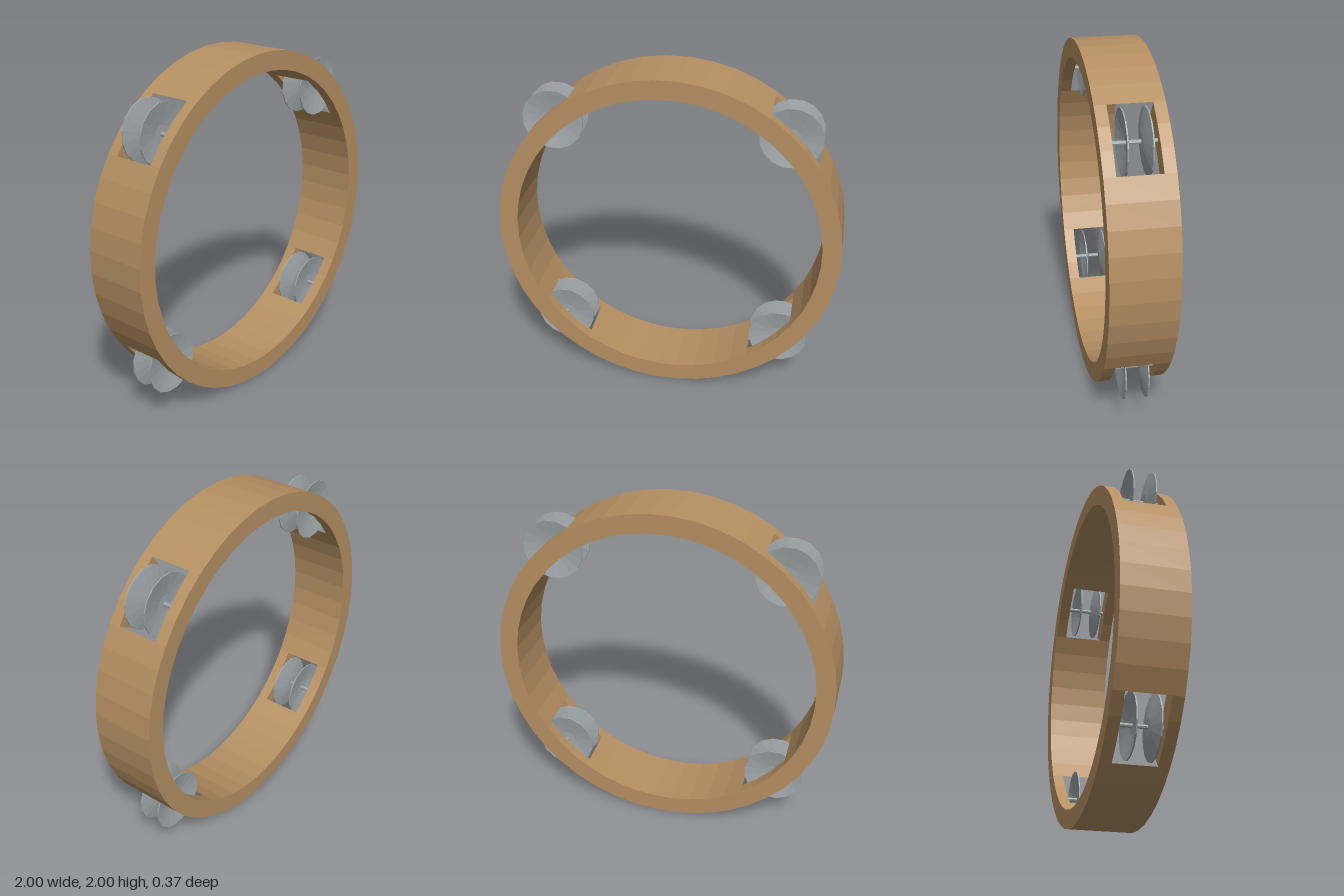
import * as THREE from 'three';

const SEGMENTS = 48, OUTER = 1.002, INNER = 0.892, DEPTH = 0.185, SLOT = 0.12;
const STEP = (Math.PI * 2) / SEGMENTS;

const wood = new THREE.MeshStandardMaterial({ color: 0xb58f62, flatShading: true });
wood.name = 'wood';
const metal = new THREE.MeshStandardMaterial({ color: 0x9fa6a9, flatShading: true });
metal.name = 'metal';

// Faceted wooden hoop; three facets are left open on each diagonal for the jingles
function hoopGeometry() {
  const pos = [];
  const quad = (a, b, c, d) => pos.push(...a, ...b, ...c, ...a, ...c, ...d);
  const p = (r, angle, z) => [r * Math.cos(angle), r * Math.sin(angle), z];
  const isSlot = (i) => Math.abs((i % 12) - 6) <= 1;

  for (let i = 0; i < SEGMENTS; i++) {
    const a = (i - 0.5) * STEP, b = (i + 0.5) * STEP;
    const bands = isSlot(i) ? [[-DEPTH, -SLOT], [SLOT, DEPTH]] : [[-DEPTH, DEPTH]];
    for (const [z0, z1] of bands) {
      quad(p(OUTER, a, z0), p(OUTER, b, z0), p(OUTER, b, z1), p(OUTER, a, z1));
      quad(p(INNER, a, z0), p(INNER, a, z1), p(INNER, b, z1), p(INNER, b, z0));
      quad(p(INNER, a, z1), p(OUTER, a, z1), p(OUTER, b, z1), p(INNER, b, z1));
      quad(p(INNER, a, z0), p(INNER, b, z0), p(OUTER, b, z0), p(OUTER, a, z0));
    }
    // End walls of the slots
    if (isSlot(i) && !isSlot(i + SEGMENTS - 1))
      quad(p(INNER, a, -SLOT), p(OUTER, a, -SLOT), p(OUTER, a, SLOT), p(INNER, a, SLOT));
    if (isSlot(i) && !isSlot(i + 1))
      quad(p(INNER, b, -SLOT), p(INNER, b, SLOT), p(OUTER, b, SLOT), p(OUTER, b, -SLOT));
  }
  const geometry = new THREE.BufferGeometry();
  geometry.setAttribute('position', new THREE.Float32BufferAttribute(pos, 3));
  geometry.computeVertexNormals();
  return geometry;
}

// Thin dished cymbal, hollow side facing outwards along +z
function cymbalGeometry() {
  const profile = [
    [0, 0.036], [0.05, 0.037], [0.11, 0.047], [0.177, 0.06],
    [0.177, 0.067], [0.11, 0.054], [0.05, 0.044], [0, 0.043],
  ].map(([r, z]) => new THREE.Vector2(r, z));
  return new THREE.LatheGeometry(profile, 16, Math.PI / 16).rotateX(Math.PI / 2);
}

export function createModel() {
  const model = new THREE.Group();
  model.name = 'tambourine';

  const add = (parent, geometry, material, name) => {
    const mesh = new THREE.Mesh(geometry, material);
    mesh.name = name;
    parent.add(mesh);
    return mesh;
  };

  add(model, hoopGeometry(), wood, 'hoop').position.y = 1;

  const cymbal = cymbalGeometry();
  const pin = new THREE.CylinderGeometry(0.012, 0.012, SLOT * 2 + 0.02, 8).rotateX(Math.PI / 2);

  // A pin with two cymbals in each slot
  for (const sx of [-1, 1]) {
    for (const sy of [-1, 1]) {
      const jingle = new THREE.Group();
      jingle.name = (sy > 0 ? 'upper' : 'lower') + (sx > 0 ? 'Left' : 'Right') + 'Jingle';
      jingle.position.set(sx * 0.669, 1 + sy * 0.669, 0);
      add(jingle, pin, metal, 'pin');
      add(jingle, cymbal, metal, 'frontCymbal');
      add(jingle, cymbal, metal, 'backCymbal').rotation.y = Math.PI;
      model.add(jingle);
    }
  }
  return model;
}
